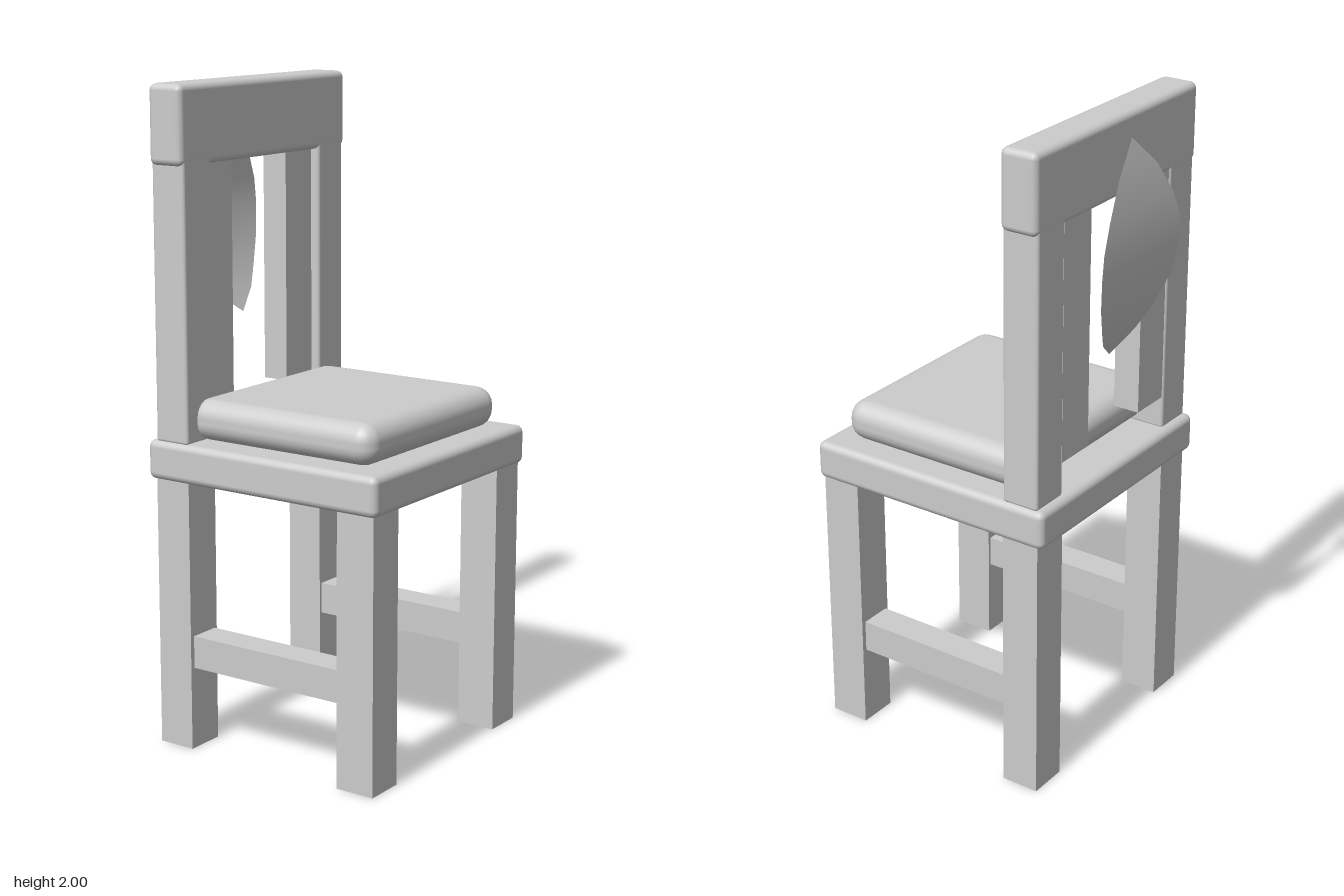
import * as THREE from 'three';
import { RoundedBoxGeometry } from 'three/addons/geometries/RoundedBoxGeometry.js';

export function createModel() {
  const chair = new THREE.Group();
  chair.name = 'chair';
  const grey = new THREE.MeshStandardMaterial({ color: 0xcccccc });
  grey.name = 'pale grey';
  const greySheet = grey.clone();
  greySheet.side = THREE.DoubleSide;

  // Box given by its extents on each axis; a radius rounds the edges
  function block(name, [x0, x1], [y0, y1], [z0, z1], radius = 0, segments = 2) {
    const size = [x1 - x0, y1 - y0, z1 - z0];
    const geometry = radius
      ? new RoundedBoxGeometry(...size, segments, radius)
      : new THREE.BoxGeometry(...size);
    const mesh = new THREE.Mesh(geometry, grey);
    mesh.name = name;
    mesh.position.set((x0 + x1) / 2, (y0 + y1) / 2, (z0 + z1) / 2);
    chair.add(mesh);
  }

  // Seat, cushion and top rail
  block('seat', [-0.41, 0.41], [0.83, 0.95], [-0.385, 0.435], 0.022);
  block('cushion', [-0.35, 0.35], [0.95, 1.075], [-0.28, 0.375], 0.055, 3);
  block('topRail', [-0.41, 0.41], [1.765, 2], [-0.36, -0.24], 0.02);

  // Paired parts on either side
  for (const [side, s] of [['left', 1], ['right', -1]]) {
    const span = (a, b) => (s > 0 ? [a, b] : [-b, -a]);
    block(side + 'FrontLeg', span(0.27, 0.395), [0, 0.84], [0.295, 0.42]);
    block(side + 'BackLeg', span(0.27, 0.395), [0, 0.84], [-0.36, -0.24]);
    block(side + 'Stretcher', span(0.28, 0.38), [0.255, 0.355], [-0.25, 0.305]);
    block(side + 'BackPost', span(0.268, 0.397), [0.945, 1.8], [-0.359, -0.241], 0.01);
    block(side + 'BackSlat', span(0.135, 0.268), [1.05, 1.8], [-0.355, -0.27]);
  }

  // Pointed leaf-shaped sheet behind the rail: [height, half width], bowed backwards
  const outline = [
    [1.946, 0], [1.85, 0.1], [1.75, 0.165], [1.67, 0.198], [1.6, 0.205],
    [1.5, 0.185], [1.41, 0.135], [1.345, 0.085], [1.283, 0],
  ];
  const leaf = new THREE.PlaneGeometry(2, 1, 2, outline.length - 1);
  const p = leaf.attributes.position;
  for (let i = 0; i < p.count; i++) {
    const [y, halfWidth] = outline[Math.floor(i / 3)];
    const bow = (y > 1.64 ? 0.48 : 0.82) * (y - 1.64) ** 2;
    p.setXYZ(i, p.getX(i) * halfWidth, y, -0.44 + bow);
  }
  leaf.computeVertexNormals();
  const leafMesh = new THREE.Mesh(leaf, greySheet);
  leafMesh.name = 'backLeaf';
  chair.add(leafMesh);

  return chair;
}
